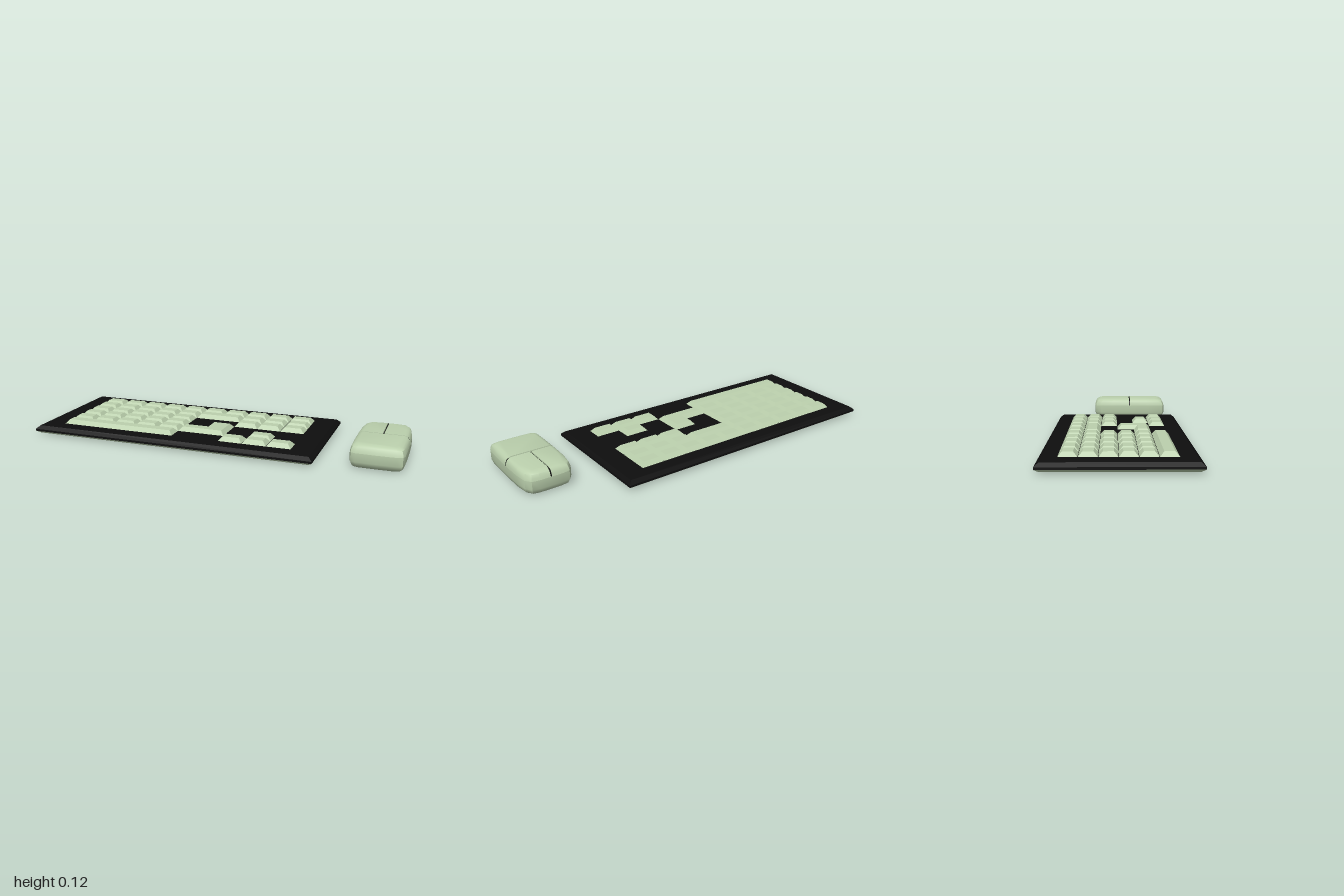
import * as THREE from 'three';
import { toCreasedNormals } from 'three/addons/utils/BufferGeometryUtils.js';

const green = new THREE.MeshStandardMaterial({ color: 0xbbd0ad });
const black = new THREE.MeshStandardMaterial({ color: 0x0e0e0e });

// Closed solid from stacked outlines; layers = [{ y, pts: [[x, z], ...] }], bottom to top
function stack(layers, crease = 0) {
  const pos = [];
  const { ShapeUtils, Vector2 } = THREE;
  const loops = layers.map(({ y, pts }) => {
    const flat = pts.map(([x, z]) => new Vector2(x, z));
    if (ShapeUtils.area(flat) < 0) flat.reverse();
    return { y, flat };
  });
  const put = (l, i) => pos.push(l.flat[i].x, l.y, l.flat[i].y);
  const cap = (l, up) => {
    for (const [a, b, c] of ShapeUtils.triangulateShape(l.flat.slice(), [])) {
      const positive = ShapeUtils.area([l.flat[a], l.flat[b], l.flat[c]]) > 0;
      (positive === up ? [a, c, b] : [a, b, c]).forEach((i) => put(l, i));
    }
  };
  cap(loops[0], false);
  cap(loops[loops.length - 1], true);
  for (let k = 1; k < loops.length; k++) {
    const a = loops[k - 1], b = loops[k], n = a.flat.length;
    for (let i = 0; i < n; i++) {
      const j = (i + 1) % n;
      put(a, i); put(b, i); put(b, j);
      put(a, i); put(b, j); put(a, j);
    }
  }
  const geo = new THREE.BufferGeometry();
  geo.setAttribute('position', new THREE.Float32BufferAttribute(pos, 3));
  geo.computeVertexNormals();
  return crease ? toCreasedNormals(geo, crease) : geo;
}

// Moves every edge of a right-angled outline inward by d
function inset(pts, d) {
  const n = pts.length;
  const s = Math.sign(THREE.ShapeUtils.area(pts.map(([x, z]) => new THREE.Vector2(x, z))));
  const normal = (p, q) => [-Math.sign(q[1] - p[1]) * s, Math.sign(q[0] - p[0]) * s];
  return pts.map((p, i) => {
    const n1 = normal(pts[(i + n - 1) % n], p), n2 = normal(p, pts[(i + 1) % n]);
    return [p[0] + d * (n1[0] + n2[0]), p[1] + d * (n1[1] + n2[1])];
  });
}

const bevelled = (pts, steps) => stack(steps.map(([y, d]) => ({ y, pts: inset(pts, d) })));
const rect = (x0, z0, x1, z1) => [[x0, z0], [x1, z0], [x1, z1], [x0, z1]];

function add(group, name, geometry, material) {
  const mesh = new THREE.Mesh(geometry, material);
  mesh.name = name;
  group.add(mesh);
}

function createKeyboard() {
  const g = new THREE.Group();
  g.name = 'keyboard';

  // Tray: green underside, black upper shell
  const tray = rect(-1, -0.358, 0.565, 0.358);
  add(g, 'trayBottom', bevelled(tray, [[0.008, 0.02], [0.022, 0]]), green);
  add(g, 'trayTop', bevelled(tray, [[0.022, 0], [0.033, 0], [0.05, 0.02]]), black);

  // Keys on a 10 x 6 grid of cells
  const X = (c) => -0.87 + c * 0.1305, Z = (r) => -0.27 + r * 0.0886;
  const key = (name, cells) => add(g, name,
    bevelled(cells.map(([c, r]) => [X(c), Z(r)]), [[0.049, 0], [0.072, 0.02]]), green);
  const rows = [
    [0, 1, 2, 3, 4, 5, 6, 7, 8, 9],
    [0, 1, 2, 3, 4, 7, 8, 9],
    [0, 1, 2, 3, 4, 7, 8, 9],
    [0, 1, 2, 3, 4],
    [0, 1, 2, 3, 4, 8],
    [7, 8, 9],
  ];
  rows.forEach((cols, r) => cols.forEach((c) => key('key', rect(c, r, c + 1, r + 1))));
  key('wideKey', rect(5, 1, 7, 2));
  key('spaceBar', rect(0, 5, 5, 6));
  key('enterKey', [[6, 3], [7, 3], [7, 5], [5, 5], [5, 4], [6, 4]]);
  return g;
}

function createMouse() {
  const g = new THREE.Group();
  g.name = 'mouse';
  g.position.set(0.8635, 0, 0.0825);

  // Half outlines, from the middle of the back to the side, and on to the front
  const back = [[0, -0.2275], [0.06, -0.2275], [0.098, -0.221], [0.12, -0.19], [0.13, -0.12], [0.133, 0]];
  const front = [[0.133, 0], [0.133, 0.12], [0.131, 0.195], [0.124, 0.217], [0.1, 0.2255], [0, 0.2275]];
  const mirror = (pts) => pts.map(([x, z]) => [-x, z]).reverse();
  const half = [...back, ...front.slice(1)];
  const full = [...half, ...mirror(half).slice(1, -1)];

  // [y, x scale, z scale]
  const lower = [[0.003, 0.77, 0.83], [0.008, 0.87, 0.9], [0.017, 0.94, 0.95], [0.04, 1, 1], [0.085, 1, 1]];
  const upper = [[0.085, 1, 1], [0.098, 0.985, 0.985], [0.115, 0.94, 0.95], [0.122, 0.87, 0.9], [0.127, 0.77, 0.83]];
  const gap = 0.0035;
  const shell = (pts, levels, fit = (p) => p) => stack(levels.map(([y, sx, sz]) => (
    { y, pts: pts.map(([x, z]) => fit([x * sx, z * sz])) })), 0.6);

  add(g, 'mouseBase', shell(full, lower), green);

  // Black core seen in the seams between the panels
  add(g, 'seams', shell(full, [[0.084, 0.995, 0.997], [0.098, 0.98, 0.982], [0.115, 0.935, 0.946], [0.12, 0.87, 0.9]]), black);

  // Palm rest and the two buttons
  add(g, 'palmRest', shell([...front, ...mirror(front).slice(1)], upper,
    ([x, z]) => [x, Math.max(z, gap)]), green);
  for (const s of [1, -1]) {
    add(g, s > 0 ? 'leftButton' : 'rightButton', shell([...back, [0, 0]], upper,
      ([x, z]) => [s * Math.max(x, gap), Math.min(z, -gap)]), green);
  }
  return g;
}

export function createModel() {
  const model = new THREE.Group();
  model.name = 'keyboardAndMouse';
  model.add(createKeyboard(), createMouse());
  model.position.y = -0.003;
  return model;
}
